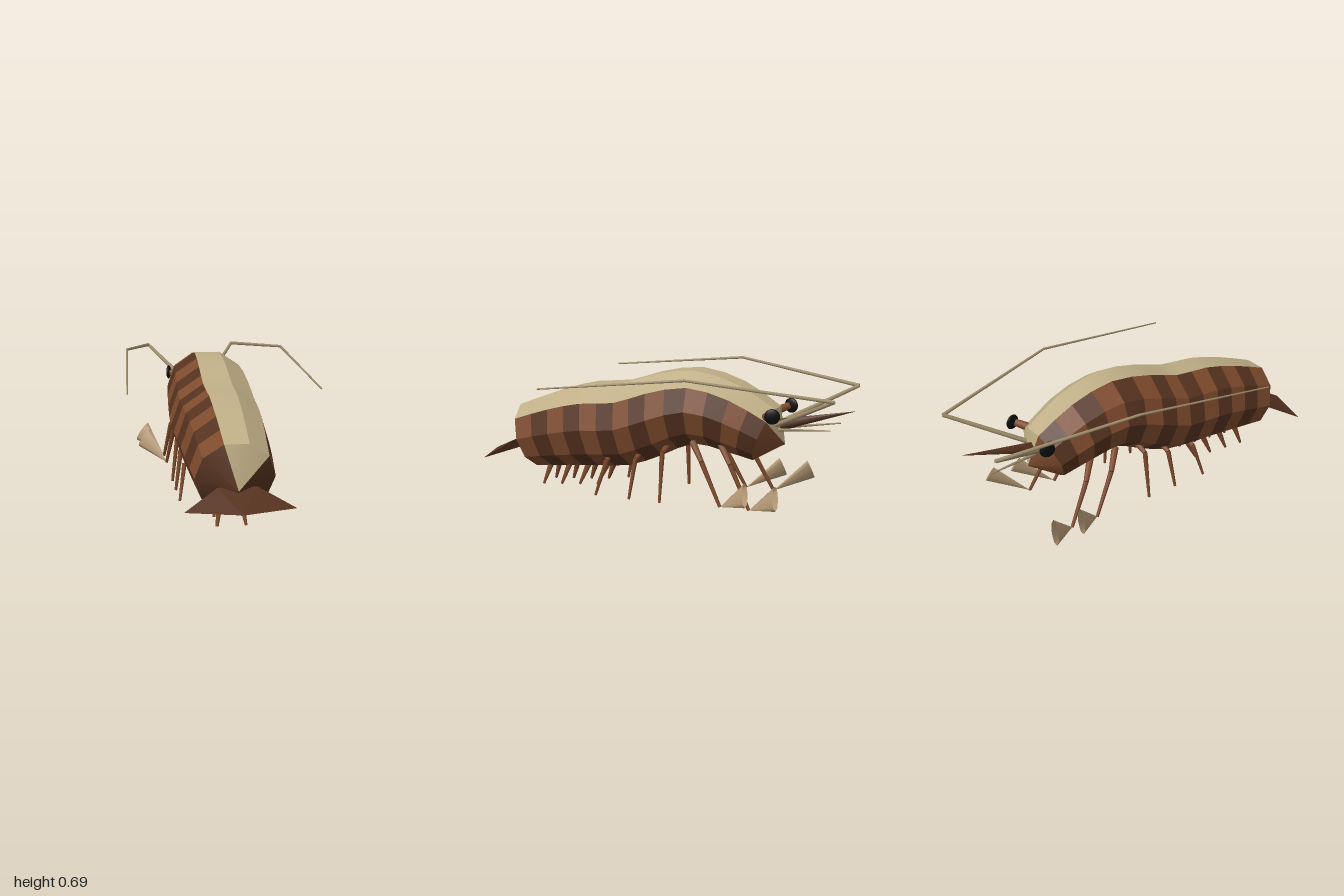
import * as THREE from 'three';
import { toCreasedNormals } from 'three/addons/utils/BufferGeometryUtils.js';
import { ConvexGeometry } from 'three/addons/geometries/ConvexGeometry.js';

const V = (x, y, z) => new THREE.Vector3(x, y, z);
const mat = (color, extra = {}) => new THREE.MeshStandardMaterial({ color, ...extra });
const light = mat(0x7d4a2c);
const dark = mat(0x55321f);
const cream = mat(0xbfae86);
const feeler = mat(0xa08e6c);
const clawMat = mat(0xb89c78, { side: THREE.DoubleSide });
const eyeMat = mat(0x0c0c0e);

function add(parent, name, geometry, material) {
  const mesh = new THREE.Mesh(geometry, material);
  mesh.name = name;
  parent.add(mesh);
  return mesh;
}

// Tapered rod between two points
function rod(parent, name, a, b, ra, rb, material, sides = 6) {
  const d = b.clone().sub(a);
  const mesh = add(parent, name, new THREE.CylinderGeometry(rb, ra, d.length(), sides), material);
  mesh.position.copy(a).lerp(b, 0.5);
  mesh.quaternion.setFromUnitVectors(V(0, 1, 0), d.normalize());
  return mesh;
}

// Chain of rods whose radius tapers from r0 to r1
function limb(parent, name, points, r0, r1, material) {
  const group = new THREE.Group();
  group.name = name;
  const n = points.length - 1;
  const r = (i) => r0 + ((r1 - r0) * i) / n;
  for (let i = 0; i < n; i++) rod(group, name + 'Segment', points[i], points[i + 1], r(i), r(i + 1), material);
  parent.add(group);
}

// Ten-sided banded body with a pale stripe along the back
function addBody(parent) {
  // belly z, belly y, back z, back y, half width; tail to head
  const stations = [
    [0.72, 0.10, 0.81, 0.43, 0.185], [0.53, 0.12, 0.60, 0.51, 0.205],
    [0.34, 0.14, 0.40, 0.565, 0.22], [0.15, 0.16, 0.20, 0.585, 0.23],
    [-0.03, 0.23, 0.03, 0.64, 0.225], [-0.20, 0.305, -0.20, 0.677, 0.21],
    [-0.36, 0.28, -0.43, 0.62, 0.19], [-0.51, 0.245, -0.62, 0.51, 0.16],
  ];
  const belly = new THREE.CatmullRomCurve3(stations.map((s) => V(0, s[1], s[0])), false, 'catmullrom');
  const back = new THREE.CatmullRomCurve3(stations.map((s) => V(s[4], s[3], s[2])), false, 'catmullrom');
  const bands = 14, sides = 10;
  const point = (i, k) => {
    const b = belly.getPoint(i / bands), t = back.getPoint(i / bands);
    const a = (k / sides) * Math.PI * 2;
    const p = b.clone().lerp(V(0, t.y, t.z), 0.5 + Math.sin(a) / (2 * Math.sin(Math.PI * 0.4)));
    p.x = t.x * Math.cos(a);
    return p;
  };
  const parts = { stripe: [], lightBands: [], darkBands: [] };
  const tailTip = V(0, 0.23, 0.87), headTip = V(0, 0.33, -0.66);
  for (let k = 0; k < sides; k++) {
    const pale = k === 1 || k === 2;
    for (let i = 0; i < bands; i++) {
      const list = pale ? parts.stripe : i % 2 ? parts.darkBands : parts.lightBands;
      const a = point(i, k), b = point(i + 1, k), c = point(i + 1, k + 1), d = point(i, k + 1);
      list.push(a, b, c, a, c, d);
    }
    (pale ? parts.stripe : parts.darkBands).push(tailTip, point(0, k), point(0, k + 1));
    (pale ? parts.stripe : parts.lightBands).push(headTip, point(bands, k + 1), point(bands, k));
  }
  const materials = { stripe: cream, lightBands: light, darkBands: dark };
  for (const [name, list] of Object.entries(parts)) {
    const geometry = new THREE.BufferGeometry().setFromPoints(list);
    add(parent, name, toCreasedNormals(geometry, 0.5), materials[name]);
  }
}

// Pincer: an open, flattened cone widening from the wrist
function addClaw(parent, s, wrist) {
  const axis = V(s * 0.11, 0.105, -0.165);
  const length = axis.length();
  const y = axis.clone().normalize().negate();
  const x = V(-s * 0.025, 0.05, 0.005);
  x.addScaledVector(y, -x.dot(y)).normalize();
  const z = x.clone().cross(y);
  const geometry = new THREE.ConeGeometry(1, length, 8, 1, true);
  geometry.scale(0.062, 1, 0.017);
  geometry.applyMatrix4(new THREE.Matrix4().makeBasis(x, y, z));
  add(parent, 'claw', geometry, clawMat).position.copy(wrist).addScaledVector(axis, 0.5);
}

export function createModel() {
  const model = new THREE.Group();
  model.name = 'shrimp';
  addBody(model);

  // Tail fan
  const fan = [
    V(-0.09, 0.24, 0.83), V(0.09, 0.24, 0.83), V(0.25, 0.163, 0.93), V(-0.25, 0.163, 0.93),
    V(0, 0.163, 1), V(0, 0.2, 0.79),
  ];
  add(model, 'tailFan', new ConvexGeometry(fan), dark);

  // Head spike
  rod(model, 'rostrum', V(0, 0.42, -0.61), V(0, 0.52, -1), 0.032, 0.001, dark, 6);

  for (const s of [1, -1]) {
    // Feelers
    limb(model, 'antenna', [
      V(s * 0.05, 0.43, -0.62), V(s * 0.25, 0.604, -0.96), V(s * 0.415, 0.685, -0.29), V(s * 0.46, 0.6, 0.47),
    ], 0.012, 0.004, feeler);
    rod(model, 'antennule', V(s * 0.03, 0.405, -0.62), V(s * 0.1, 0.437, -0.91), 0.009, 0.003, feeler);

    // Eyes on stalks
    rod(model, 'eyeStalk', V(s * 0.1, 0.475, -0.585), V(s * 0.15, 0.495, -0.63), 0.022, 0.018, light, 8);
    const eye = add(model, 'eye', new THREE.SphereGeometry(0.038, 16, 10), eyeMat);
    eye.scale.x = 0.33;
    eye.position.set(s * 0.16, 0.495, -0.64);
    eye.rotation.y = s * 0.25;

    // Clawed front legs
    for (const z of [-0.36, -0.21]) {
      const wrist = V(s * 0.2, 0.03, z - 0.185);
      limb(model, 'clawLeg', [V(s * 0.1, 0.32, z), V(s * 0.17, 0.24, z - 0.075), wrist], 0.018, 0.008, light);
      addClaw(model, s, wrist);
    }

    // Walking legs
    for (const [z, top, sweep] of [[-0.075, 0.28, 0.005], [0.075, 0.23, 0.025], [0.24, 0.205, 0.05]]) {
      limb(model, 'walkingLeg', [
        V(s * 0.08, top + 0.02, z), V(s * 0.17, top - 0.01, z), V(s * 0.2, 0.015, z + sweep),
      ], 0.018, 0.007, light);
    }

    // Swimming legs under the abdomen
    for (const [z, foot] of [[0.63, 0.005], [0.52, 0.015], [0.41, 0.025], [0.305, 0.035]]) {
      rod(model, 'swimmingLeg', V(s * 0.045, 0.15, z - 0.01), V(s * 0.068, foot, z + 0.04), 0.02, 0.007, light);
    }
  }
  return model;
}
